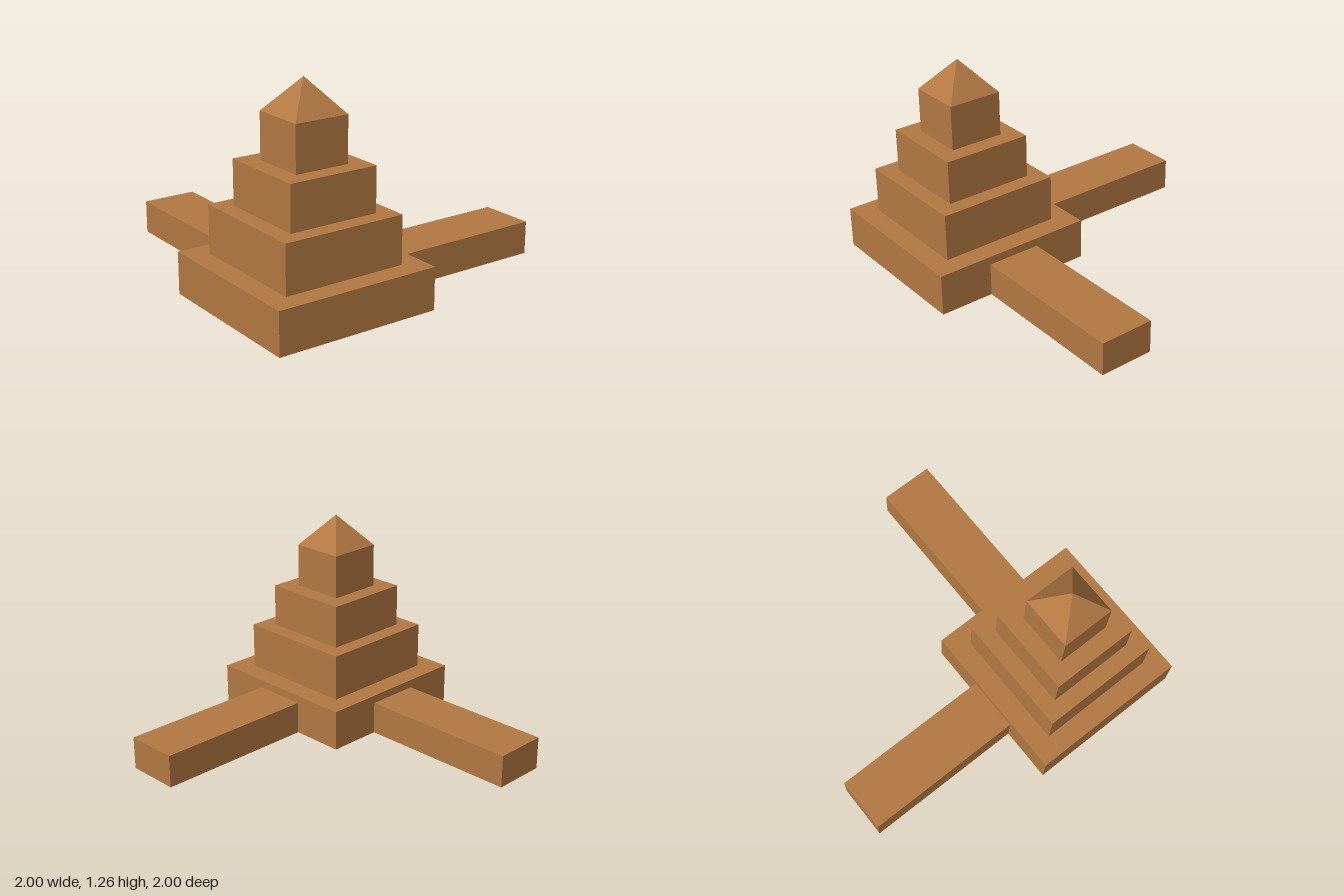
import * as THREE from 'three';

// Box side numbers, in the order BoxGeometry stores its faces
const LEFT_END = 1, BOTTOM = 3;

// Box shell standing on y = 0, with the listed sides left open
function openBox(width, height, depth, openSides) {
  const geometry = new THREE.BoxGeometry(width, height, depth);
  geometry.translate(0, height / 2, 0);
  const kept = Array.from(geometry.index.array)
    .filter((_, i) => !openSides.includes(Math.floor(i / 6)));
  geometry.setIndex(kept);
  geometry.clearGroups();
  return geometry;
}

export function createModel() {
  const model = new THREE.Group();
  model.name = 'steppedTower';

  const clay = new THREE.MeshStandardMaterial({
    color: 0xb37943, side: THREE.DoubleSide, flatShading: true,
  });
  clay.name = 'clayBrown';

  const add = (parent, name, geometry) => {
    const mesh = new THREE.Mesh(geometry, clay);
    mesh.name = name;
    parent.add(mesh);
    return mesh;
  };

  // Tower: hollow square tiers, stacked and shrinking
  const tower = new THREE.Group();
  tower.name = 'tower';
  tower.position.set(-0.5, 0, 0.5);
  model.add(tower);

  const tiers = [
    ['baseTier', 1, 0, 0.25],
    ['secondTier', 0.747, 0.25, 0.535],
    ['thirdTier', 0.547, 0.535, 0.8],
    ['topTier', 0.333, 0.8, 1.07],
  ];
  for (const [name, size, bottom, top] of tiers) {
    add(tower, name, openBox(size, top - bottom, size, [BOTTOM])).position.y = bottom;
  }

  // Four-sided roof
  const roofHeight = 0.195;
  const roof = new THREE.ConeGeometry(0.333 / Math.SQRT2, roofHeight, 4, 1, true);
  roof.rotateY(Math.PI / 4);
  add(tower, 'roof', roof).position.y = 1.07 + roofHeight / 2;

  // Two hollow wings reaching out from adjacent sides of the base
  for (const [name, angle] of [['sideWing', 0], ['backWing', Math.PI / 2]]) {
    const wing = openBox(1, 0.2, 0.333, [BOTTOM, LEFT_END]);
    wing.translate(1, 0, 0);
    add(tower, name, wing).rotation.y = angle;
  }

  return model;
}
